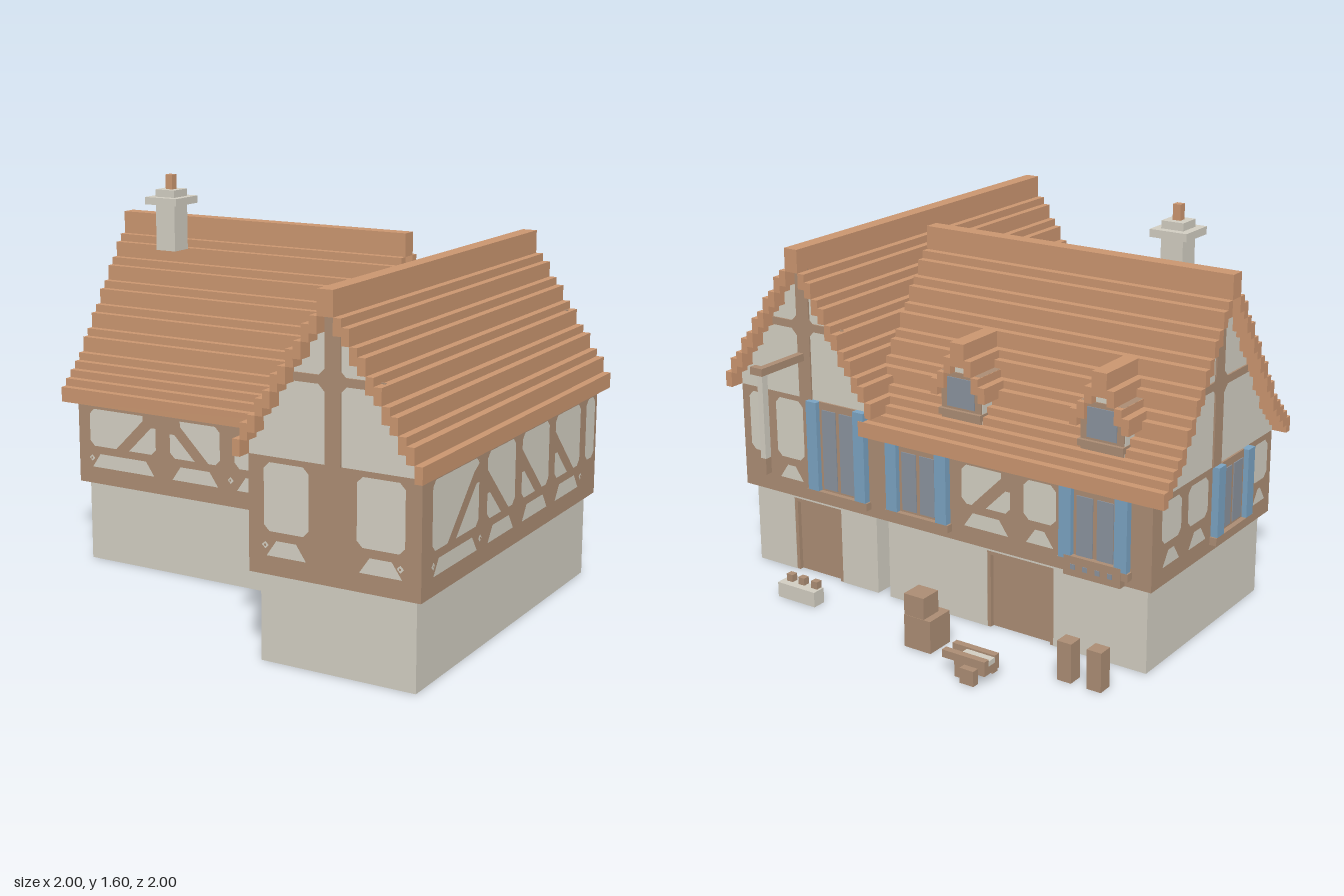
import * as THREE from 'three';

const U = 2 / 65; // step size of the stepped roofs
const mat = (name, color, side = THREE.FrontSide) => {
  const m = new THREE.MeshStandardMaterial({ color, side });
  m.name = name;
  return m;
};
const roofTile = mat('roofTile', 0xcb9670);
const timber = mat('timber', 0xac8d74);
const plaster = mat('plaster', 0xd4d0c3, THREE.DoubleSide);
const stone = mat('stone', 0xd2cec2);
const blue = mat('shutterBlue', 0x7aa3c2);
const glass = mat('glass', 0x8b939e);

// Box given by its limits
function box(parent, name, m, x0, x1, y0, y1, z0, z1) {
  const mesh = new THREE.Mesh(new THREE.BoxGeometry(x1 - x0, y1 - y0, z1 - z0), m);
  mesh.position.set((x0 + x1) / 2, (y0 + y1) / 2, (z0 + z1) / 2);
  mesh.name = name;
  parent.add(mesh);
}

// Flat polygon just in front of a wall
function plate(parent, name, m, pts, z = 0.004) {
  const shape = new THREE.Shape(pts.map(p => new THREE.Vector2(p[0], p[1])));
  const mesh = new THREE.Mesh(new THREE.ShapeGeometry(shape), m);
  mesh.position.z = z;
  mesh.name = name;
  parent.add(mesh);
}

function group(parent, name, x = 0, z = 0, turn = 0) {
  const g = new THREE.Group();
  g.name = name;
  g.position.set(x, 0, z);
  g.rotation.y = turn;
  parent.add(g);
  return g;
}

// Plaster fields of one timber bay; brace is '/', '\\' or ''
function bay(wall, u0, u1, top, brace = '') {
  const a = 0.5, b = top - 0.02, h = b - a, c = Math.min(0.022, (u1 - u0) / 4);
  const put = pts => plate(wall, 'plasterField', plaster,
    brace === '\\' ? pts.map(([u, v]) => [u0 + u1 - u, v]) : pts);
  if (brace) {
    const t = Math.min((u1 - u0) / 2, h * 0.85), foot = u1 - t - 0.065, head = foot + h;
    put([[u1 - t, a], [u1 - c, a], [u1, a + c], [u1, a + t - c], [u1 - c, a + t - c]]);
    const end = head > u1 ? [[u1, a + u1 - foot], [u1, b - c], [u1 - c, b]] : [[head - c, b - c], [head - c, b]];
    put([[u0 + c, b], [u0, b - c], [u0, a + c], [u0 + c, a], [foot, a], ...end]);
  } else {
    put([[u0, a + c], [u0, b - c], [u0 + c, b], [u1 - c, b], [u1, b - c], [u1, a + c], [u1 - c, a], [u0 + c, a]]);
  }
  if (u1 - u0 > 0.12) {
    put([[u0 + 0.01, 0.41], [u0 + 0.05, 0.468], [u1 - 0.05, 0.468], [u1 - 0.01, 0.41]]);
  }
}

// Small carved flower in the lower rail
function flower(wall, u) {
  plate(wall, 'carvedFlower', plaster, [[u - 0.014, 0.448], [u, 0.462], [u + 0.014, 0.448], [u, 0.434]]);
  plate(wall, 'flowerCentre', timber, [[u - 0.004, 0.444], [u + 0.004, 0.444], [u + 0.004, 0.452], [u - 0.004, 0.452]], 0.006);
}

// Window with a frame, sill and two shutters
function shutteredWindow(wall, u, y0, y1) {
  const g = group(wall, 'shutteredWindow', u);
  box(g, 'windowFrame', timber, -0.095, 0.095, y0, y1, 0, 0.008);
  for (const s of [-1, 1]) {
    box(g, 'windowPane', glass, s * 0.043 - 0.034, s * 0.043 + 0.034, y0 + 0.04, y1 - 0.03, 0.002, 0.012);
    box(g, 'shutter', blue, s * 0.117 - 0.026, s * 0.117 + 0.026, y0 + U, y1, 0, 0.029);
  }
  box(g, 'windowSill', timber, -0.15, 0.15, y0, y0 + U, 0, 0.029);
}

// Upright post, collar beam and small brackets of a gable
function gableFrame(wall, mid, bottom, top, collar, half) {
  const g = group(wall, 'gableFrame', mid);
  box(g, 'gablePost', timber, -U, U, bottom, top, 0, 0.007);
  box(g, 'collarBeam', timber, -half, half, collar, collar + U, 0, 0.007);
  plate(g, 'gableBracket', timber, [[-0.07, collar + 0.015], [0, collar + 0.085], [0.07, collar + 0.015], [0, collar - 0.055]], 0.008);
}

// Stepped roof along local z, with the solid gable beneath it
function steppedRoof(parent, name, tops, ridge, bottom, len, inset, x, z, turn) {
  const g = group(parent, name, x, z, turn), n = tops.length, left = [];
  tops.forEach((t, i) => {
    const outer = (n + 1 - i) * U;
    for (const s of [-1, 1]) {
      const c = s * (outer - U / 2);
      box(g, 'roofCourse', roofTile, c - U / 2, c + U / 2, (t - 2) * U, t * U, -len / 2, len / 2);
    }
    if (i > 0) left.push([-outer, (t - 2) * U], [-outer + U, (t - 2) * U]);
  });
  box(g, 'ridge', roofTile, -U, U, (ridge - 3) * U, ridge * U, -len / 2, len / 2);
  const right = left.map(([a, b]) => [-a, b]).reverse();
  const w = n * U;
  const pts = [[-w, bottom * U], ...left, [-U, (ridge - 3) * U], [U, (ridge - 3) * U], ...right, [w, bottom * U]];
  const depth = len - 2 * inset;
  const geo = new THREE.ExtrudeGeometry(new THREE.Shape(pts.map(p => new THREE.Vector2(...p))), { depth, bevelEnabled: false });
  geo.translate(0, 0, -depth / 2);
  const mesh = new THREE.Mesh(geo, plaster);
  mesh.name = 'gableWall';
  g.add(mesh);
}

// Hollow stone base, open below, with a recessed door from d0 to d1 at the back
function stoneBase(parent, x0, x1, z0, z1, d0, d1) {
  const g = group(parent, 'stoneBase'), h = 11 * U, t = 0.008;
  box(g, 'backWall', stone, x0, d0, 0, h, z0, z0 + t);
  box(g, 'backWall', stone, d1, x1, 0, h, z0, z0 + t);
  box(g, 'backWall', stone, d0, d1, 0.315, h, z0, z0 + t);
  box(g, 'frontWall', stone, x0, x1, 0, h, z1 - t, z1);
  box(g, 'sideWall', stone, x0, x0 + t, 0, h, z0 + t, z1 - t);
  box(g, 'sideWall', stone, x1 - t, x1, 0, h, z0 + t, z1 - t);
  box(g, 'baseCeiling', stone, x0 + t, x1 - t, h - t, h, z0 + t, z1 - t);
  for (const x of [d0, d1 - U / 2]) box(g, 'doorPost', timber, x, x + U / 2, 0, 0.315, z0 + 0.002, z0 + U);
  box(g, 'doorLintel', timber, d0, d1, 0.3, 0.315, z0 + 0.002, z0 + U);
  box(g, 'doorLeaf', timber, d0, d1, 0, 0.315, z0 + 0.02, z0 + U);
}

export function createModel() {
  const model = new THREE.Group();
  model.name = 'timberFramedHouse';
  const floor = 11 * U, topA = 25 * U, topB = 22 * U;

  // Stone ground floors and timber storeys
  stoneBase(model, 0.32, 0.94, -0.57, 0.91, 0.5, 0.745);
  stoneBase(model, -0.91, 0.26, -0.57, 0.29, -0.51, -0.21);
  box(model, 'gableWingStorey', timber, 0.29, 0.97, floor, topA, -0.6, 0.94);
  box(model, 'longWingStorey', timber, -0.94, 0.29, floor, topB, -0.6, 0.32);

  // Roofs
  const topsA = [27, 29, 30, 32, 33, 35, 36, 38, 39, 41, 42];
  const topsB = [24, 25, 26, 27, 28, 30, 31, 33, 34, 36, 37, 39, 40, 42, 43];
  steppedRoof(model, 'gableWingRoof', topsA, 45, 25, 1.66, 0.06, 0.631, 0.17, 0);
  steppedRoof(model, 'longWingRoof', topsB, 46, 22, 1.35, 0.06, -0.325, -0.139, Math.PI / 2);

  // Front of the gable wing
  const frontA = group(model, 'gableWingFront', 0, 0.94);
  bay(frontA, 0.355, 0.535, topA);
  bay(frontA, 0.725, 0.91, topA);
  flower(frontA, 0.36);
  flower(frontA, 0.893);
  gableFrame(frontA, 0.631, topA, 1.3, 1.05, 0.2);

  // Back of the gable wing
  const backA = group(model, 'gableWingBack', 0, -0.6, Math.PI);
  bay(backA, -0.93, -0.83, topA);
  bay(backA, -0.79, -0.65, topA);
  shutteredWindow(backA, -0.47, 0.37, 0.77);
  gableFrame(backA, -0.631, topA, 1.3, 1.05, 0.2);

  // Long outer side of the gable wing
  const rightA = group(model, 'gableWingOuterSide', 0.97, 0, Math.PI / 2);
  bay(rightA, -0.87, -0.51, topA, '/');
  bay(rightA, -0.44, -0.2, topA, '\\');
  bay(rightA, -0.14, 0.11, topA, '\\');
  bay(rightA, 0.17, 0.42, topA, '\\');
  bay(rightA, 0.48, 0.57, topA);
  for (const u of [-0.86, -0.495, 0.435]) flower(rightA, u);

  // Inner side of the gable wing
  const leftA = group(model, 'gableWingInnerSide', 0.29, 0, -Math.PI / 2);
  shutteredWindow(leftA, 0.63, 0.37, 0.77);
  bay(leftA, 0.36, 0.46, topA);
  bay(leftA, 0.81, 0.91, topA);

  // Front of the long wing
  const frontB = group(model, 'longWingFront', 0, 0.32);
  bay(frontB, -0.88, -0.55, topB, '/');
  bay(frontB, -0.48, -0.24, topB, '\\');
  bay(frontB, -0.17, 0.24, topB, '\\');
  flower(frontB, -0.872);
  flower(frontB, -0.19);

  // Back of the long wing
  const backB = group(model, 'longWingBack', 0, -0.6, Math.PI);
  shutteredWindow(backB, -0.08, 0.37, topB);
  shutteredWindow(backB, 0.71, 0.37, topB);
  bay(backB, 0.12, 0.34, topB, '/');
  bay(backB, 0.4, 0.54, topB);
  box(backB, 'flowerBox', timber, 0.59, 0.83, 0.338, 0.415, 0, 0.03);
  for (let i = 0; i < 4; i++) {
    box(backB, 'flowerBoxHole', glass, 0.62 + i * 0.052, 0.64 + i * 0.052, 0.365, 0.385, 0.026, 0.032);
  }

  // Gables of the long wing
  const leftB = group(model, 'longWingGable', -0.94, 0, -Math.PI / 2);
  bay(leftB, -0.54, -0.4, topB);
  bay(leftB, -0.35, -0.2, topB);
  bay(leftB, 0.16, 0.28, topB);
  shutteredWindow(leftB, -0.02, 0.37, topB);
  gableFrame(leftB, -0.139, topB, 1.32, 0.98, 0.24);
  const rightB = group(model, 'longWingInnerGable', 0.29, 0, Math.PI / 2);
  gableFrame(rightB, 0.139, 0.8, 1.32, 0.98, 0.24);

  // Dormers on the back slope
  for (const x of [-0.695, -0.08]) {
    steppedRoof(model, 'dormerRoof', [31, 32, 34], 36, 26, 0.37, U, x, -0.385, 0);
    const d = group(model, 'dormerWindow', x, -0.54, Math.PI);
    box(d, 'dormerFrame', timber, -0.09, 0.09, 0.8, 0.985, -0.15, 0.005);
    box(d, 'dormerPane', glass, -0.062, 0.062, 0.85, 0.965, 0, 0.009);
    box(d, 'dormerSill', timber, -0.095, 0.095, 0.815, 0.84, -0.05, 0.02);
  }

  // Chimney
  const ch = group(model, 'chimney', -0.677, 0.003);
  for (const [r, y0, y1, m] of [[0.046, 1.29, 1.48, stone], [0.077, 1.48, 1.51, stone], [0.046, 1.51, 1.54, stone], [0.016, 1.54, 1.6, roofTile]]) {
    box(ch, 'chimneyPart', m, -r, r, y0, y1, -r, r);
  }

  // Hanging banner on a bracket
  box(model, 'bannerArm', timber, 0.631, 0.66, 0.925, 0.955, -0.845, -0.6);
  box(model, 'bannerRail', timber, 0.631, 0.69, 0.925, 0.955, -0.85, -0.82);
  box(model, 'banner', stone, 0.635, 0.66, 0.59, 0.925, -0.845, -0.815);
  box(model, 'bannerFoot', timber, 0.635, 0.66, 0.525, 0.59, -0.845, -0.815);

  // Planter
  box(model, 'planter', stone, 0.445, 0.63, 0, 0.062, -0.815, -0.757);
  for (const x of [0.455, 0.52, 0.58]) box(model, 'plant', timber, x, x + 0.03, 0.062, 0.092, -0.785, -0.757);

  // Crates and posts
  box(model, 'lowCrate', timber, -0.17, -0.05, 0, 0.13, -0.88, -0.757);
  box(model, 'tallCrate', timber, -0.14, -0.05, 0.13, 0.215, -0.878, -0.787);
  for (const x of [-0.85, -0.725]) box(model, 'barrel', timber, x, x + 0.06, 0, 0.155, -0.785, -0.725);

  // Handcart
  const cart = group(model, 'handcart');
  box(cart, 'cartBed', timber, -0.478, -0.355, 0.035, 0.065, -0.97, -0.878);
  box(cart, 'cartLoad', stone, -0.478, -0.355, 0.065, 0.085, -0.945, -0.905);
  for (const z of [-0.97, -0.905]) {
    box(cart, 'cartRail', timber, -0.478, -0.29, 0.062, 0.092, z, z + 0.027);
    box(cart, 'cartLeg', timber, -0.37, -0.345, 0, 0.062, z, z + 0.027);
  }
  for (const z of [-1, -0.878]) box(cart, 'cartWheel', timber, -0.45, -0.39, 0, 0.06, z, z + 0.029);

  return model;
}
